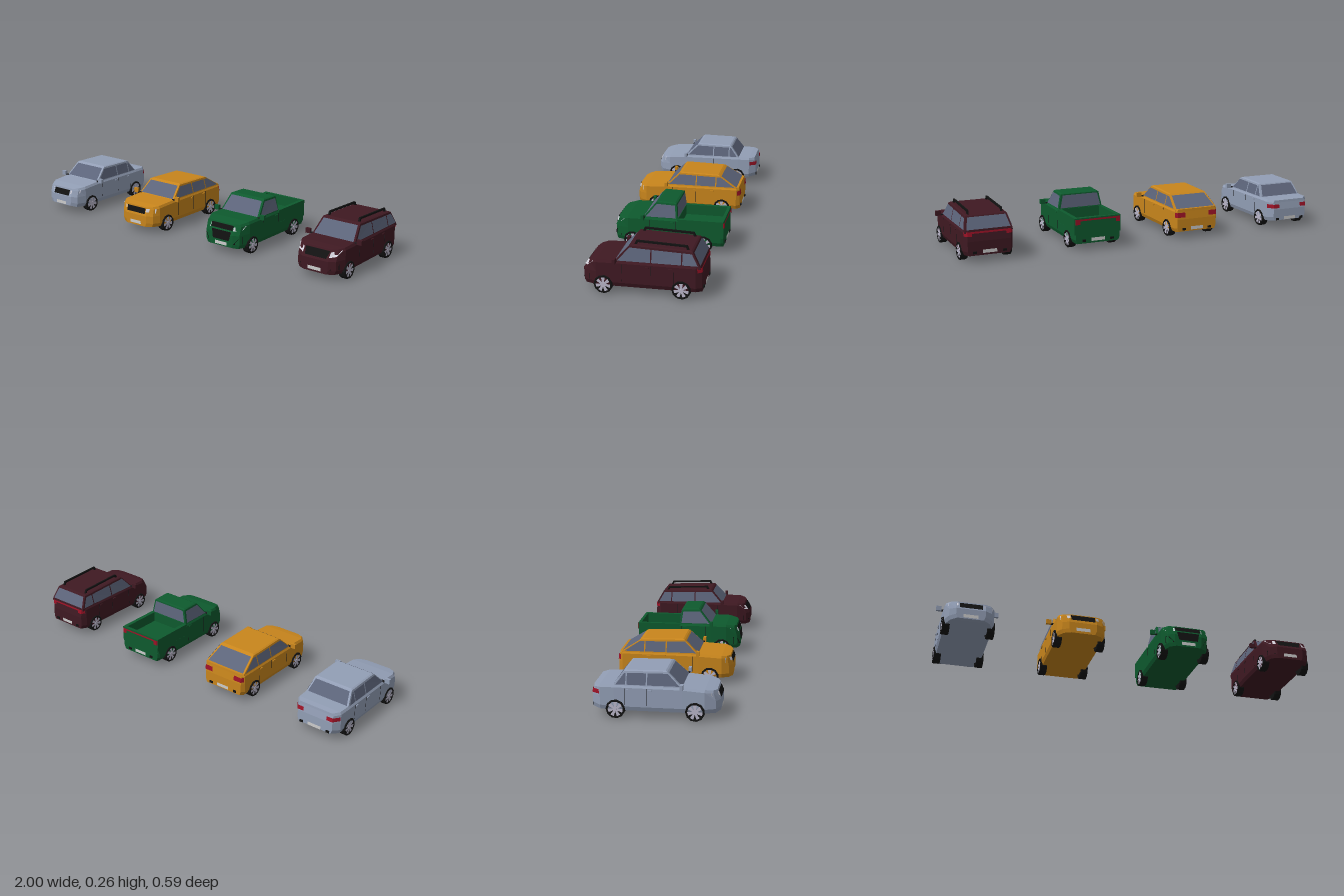
import * as THREE from 'three';

const paint = (color, extra = {}) => new THREE.MeshStandardMaterial({ color, flatShading: true, ...extra });
const thin = (color) => paint(color, { side: THREE.DoubleSide });
const M = {
  glass: thin(0x5c647a), black: thin(0x121212), light: thin(0xd4d2dc), red: thin(0x9c1226),
  plate: thin(0xe4e4e4), alloy: thin(0xb9b5c8), trim: thin(0x1a1a1c),
};

function add(parent, name, geometry, material, x = 0, y = 0, z = 0) {
  const m = new THREE.Mesh(geometry, material);
  m.name = name;
  m.position.set(x, y, z);
  parent.add(m);
  return m;
}

function meshFrom(points, index) {
  const g = new THREE.BufferGeometry();
  g.setAttribute('position', new THREE.Float32BufferAttribute(points.flat(), 3));
  g.setIndex(index);
  const flat = g.toNonIndexed();
  flat.computeVertexNormals();
  return flat;
}

// Flat polygon from a few corners
function patch(parent, name, pts, material) {
  const index = [];
  for (let i = 1; i < pts.length - 1; i++) index.push(0, i, i + 1);
  return add(parent, name, meshFrom(pts, index), material);
}

// Skin over a row of closed rings, each ring mirrored left to right, both ends capped
function loft(rings) {
  const n = rings[0].length, index = [], last = (rings.length - 1) * n;
  const quad = (a, b, c, d) => index.push(a, b, c, a, c, d);
  for (let i = 0; i < rings.length - 1; i++)
    for (let j = 0; j < n; j++) {
      const k = (j + 1) % n;
      quad(i * n + j, i * n + k, (i + 1) * n + k, (i + 1) * n + j);
    }
  for (let j = 0; j < n / 2 - 1; j++) {
    quad(last + j, last + j + 1, last + n - 2 - j, last + n - 1 - j);
    quad(n - 1 - j, n - 2 - j, j + 1, j);
  }
  return meshFrom(rings.flat(), index);
}

const lerp = THREE.MathUtils.lerp;
const middle = ([, , yb, yt]) => yb + 0.55 * (yt - yb);

// Body cross-section from a station [z, half width, bottom, top, lean of the upper part]
function section([z, w, yb, yt, lean]) {
  const half = [[w - 0.008, yb, z], [w, yb + 0.02, z], [w, middle([z, w, yb, yt]), z],
    [w, yt - 0.012, z + lean], [w - 0.007, yt, z + lean * 1.2]];
  return [...half, ...half.map(([x, y, zz]) => [-x, y, zz]).reverse()];
}

// Point just outside the nose (dir 1) or tail (dir -1) at a given x and y
function endPoint(stations, dir, x, y) {
  const s = dir > 0 ? [...stations].reverse() : stations;
  const at = (q) => q[0] + q[4] * THREE.MathUtils.clamp((y - middle(q)) / (q[3] - 0.012 - middle(q)), 0, 1.2);
  const ax = Math.abs(x);
  let z = at(s[0]);
  for (let i = 0; i < 2; i++)
    if (ax > s[i][1]) z = lerp(at(s[i]), at(s[i + 1]), Math.min(1, (ax - s[i][1]) / Math.max(1e-4, s[i + 1][1] - s[i][1])));
  return [x, y, z + dir * 0.004];
}

function makeWheel() {
  const wheel = new THREE.Group();
  const profile = [[0.035, -0.018], [0.041, -0.019], [0.0445, -0.015], [0.0445, 0.015], [0.042, 0.019], [0.035, 0.018], [0.035, -0.018]];
  const tyre = new THREE.LatheGeometry(profile.map((p) => new THREE.Vector2(...p)), 11);
  add(wheel, 'tyre', tyre, M.black).rotation.z = -Math.PI / 2;
  add(wheel, 'wheelBack', new THREE.CylinderGeometry(0.036, 0.036, 0.012, 11), M.black, -0.008).rotation.z = -Math.PI / 2;
  add(wheel, 'hub', new THREE.CylinderGeometry(0.008, 0.009, 0.005, 7), M.alloy, 0.0155).rotation.z = -Math.PI / 2;
  for (let i = 0; i < 7; i++) {
    const spoke = patch(wheel, 'spoke', [[0.017, 0.004, -0.004], [0.017, 0.036, -0.009], [0.017, 0.036, 0.009], [0.017, 0.004, 0.004]], M.alloy);
    spoke.rotation.x = (i / 7) * Math.PI * 2;
  }
  return wheel;
}

function makeCar(spec) {
  const car = new THREE.Group();
  car.name = spec.name;
  car.position.x = spec.x;
  const body = paint(spec.color);
  const { stations, belt, cabin: c } = spec;
  add(car, 'body', loft(stations.map(section)), body);

  // Cabin: a tapered block from the belt line to the roof
  const wb = 0.121, wt = 0.104;
  const ring = (w, zf, yf, zr, yr) => [[w, yf, zf], [w, yr, zr], [-w, yr, zr], [-w, yf, zf]];
  add(car, 'cabin', loft([ring(wb, c.baseF, belt - 0.012, c.baseR, belt - 0.012), ring(wb - 0.002, c.baseF - 0.003, belt, c.baseR + 0.003, belt),
    ring(wt, c.topF, c.yF - 0.004, c.topR, c.yR - 0.004), ring(wt - 0.008, c.topF - 0.008, c.yF, c.topR + 0.008, c.yR)]), body);

  // Windscreen and rear window
  const screen = (name, zb, zt, yTop, dir) => {
    const p = (side, v) => [side * (lerp(wb, wt, v) - 0.01), lerp(belt, yTop - 0.004, v), lerp(zb, zt, v) + dir * 0.003];
    patch(car, name, [p(-1, 0.05), p(1, 0.05), p(1, 0.93), p(-1, 0.93)], M.glass);
  };
  screen('windscreen', c.baseF - 0.003, c.topF, c.yF, 1);
  screen('rearWindow', c.baseR + 0.003, c.topR, c.yR, -1);

  // Side windows between the pillars
  const y0 = belt + 0.004;
  const roofY = (z) => lerp(c.yF, c.yR, THREE.MathUtils.clamp((c.topF - z) / (c.topF - c.topR), 0, 1)) - 0.012;
  const frontLine = (y) => lerp(c.baseF, c.topF, (y - belt) / (c.yF - belt)) - 0.01;
  const rearLine = (y) => lerp(c.baseR, c.topR, (y - belt) / (c.yR - belt)) + 0.01;
  const edges = [frontLine, ...spec.pillars.map((z) => () => z), rearLine];
  for (const side of [1, -1]) {
    const onSide = (z, y) => [side * (lerp(wb, wt, (y - belt) / (roofY(z) + 0.008 - belt)) + 0.002), y, z];
    for (let i = 0; i < edges.length - 1; i++) {
      const f = (y) => edges[i](y) - (i ? 0.003 : 0);
      const r = (y) => edges[i + 1](y) + (i < edges.length - 2 ? 0.003 : 0);
      const yf = roofY(f(c.yF - 0.012)), yr = roofY(r(c.yR - 0.012));
      patch(car, 'sideWindow', [onSide(f(y0), y0), onSide(f(yf), yf), onSide(r(yr), yr), onSide(r(y0), y0)], M.glass);
    }
    // Door seams and handles
    for (const z of [0.09, ...spec.doors])
      add(car, 'doorSeam', new THREE.BoxGeometry(0.001, belt - 0.077, 0.0015), M.trim, side * 0.1252, (belt + 0.053) / 2, z);
    for (const z of spec.doors)
      add(car, 'doorHandle', new THREE.BoxGeometry(0.005, 0.006, 0.018), body, side * 0.127, belt - 0.019, z + 0.016);
    // Mirror on its arm
    add(car, 'mirror', new THREE.BoxGeometry(0.027, 0.024, 0.014), body, side * 0.144, belt + 0.008, 0.12);
    add(car, 'mirrorArm', new THREE.BoxGeometry(0.03, 0.007, 0.009), M.trim, side * 0.126, belt, 0.118);
    for (const z of [0.177, -0.184]) {
      const wheel = makeWheel();
      wheel.name = z > 0 ? 'frontWheel' : 'rearWheel';
      wheel.position.set(side * 0.111, 0.0445, z);
      wheel.rotation.y = side > 0 ? 0 : Math.PI;
      car.add(wheel);
    }
  }

  // Lights, grille and plates laid on the nose and tail
  const onEnd = (name, dir, pts, material, both = false) => {
    for (const s of both ? [1, -1] : [1])
      patch(car, name, pts.map(([x, y]) => endPoint(stations, dir, s * x, y)), material);
  };
  const box = (w, a, b, w2 = w) => [[-w, a], [w, a], [w2, b], [-w2, b]];
  for (const g of spec.grilles) onEnd('grille', 1, box(...g), M.black);
  onEnd('headlight', 1, spec.headlight, M.light, true);
  if (spec.vent) onEnd('bumperVent', 1, spec.vent, M.black, true);
  for (const dir of [1, -1]) onEnd('plate', dir, box(0.036, 0.047, 0.064), M.plate);
  const [ta, tb, inner] = spec.tail;
  const corner = stations[0][1];
  onEnd('tailLight', -1, [[inner, ta], [corner, ta], [corner, tb], [inner, tb]], M.red, true);
  onEnd('tailLightWrap', -1, [[corner, ta], [0.122, ta], [0.122, tb], [corner, tb]], M.red, true);
  if (spec.strip) onEnd('lightStrip', -1, box(inner, tb - 0.009, tb), M.red);
  for (const s of [1, -1])
    add(car, 'exhaust', new THREE.BoxGeometry(0.018, 0.011, 0.01), M.black, s * 0.075, 0.052, stations[0][0]);
  return car;
}

// Open load bed: side walls and tailgate standing on the low rear body
function addBed(car, color) {
  const body = paint(color);
  for (const s of [1, -1])
    add(car, 'bedWall', new THREE.BoxGeometry(0.02, 0.085, 0.232), body, s * 0.1145, 0.125, -0.166);
  add(car, 'tailgate', new THREE.BoxGeometry(0.236, 0.085, 0.015), body, 0, 0.125, -0.2755);
}

function addRoofRails(car) {
  const outline = [[0.04, 0.232], [0.028, 0.256], [-0.205, 0.247], [-0.217, 0.222], [-0.205, 0.222], [-0.2, 0.238], [0.02, 0.247], [0.028, 0.232]];
  const shape = new THREE.Shape(outline.map((p) => new THREE.Vector2(...p)));
  const geo = new THREE.ExtrudeGeometry(shape, { depth: 0.009, bevelEnabled: false });
  geo.translate(0, 0, -0.0045).rotateY(-Math.PI / 2);
  for (const s of [1, -1]) add(car, 'roofRail', geo, M.black, s * 0.084);
}

export function createModel() {
  const model = new THREE.Group();
  model.name = 'fourCars';
  const sedan = makeCar({
    name: 'sedan', x: -0.8425, color: 0x929eb5, belt: 0.155, pillars: [-0.042, -0.135], doors: [-0.042, -0.14],
    stations: [[-0.291, 0.098, 0.045, 0.153, 0.006], [-0.255, 0.122, 0.04, 0.156, 0], [-0.19, 0.125, 0.037, 0.157, 0], [0.12, 0.125, 0.037, 0.155, 0],
      [0.22, 0.123, 0.037, 0.147, 0], [0.268, 0.104, 0.037, 0.141, -0.01], [0.287, 0.072, 0.043, 0.138, -0.013]],
    cabin: { baseF: 0.122, topF: 0.05, topR: -0.145, baseR: -0.195, yF: 0.225, yR: 0.222 },
    grilles: [[0.057, 0.1, 0.13]], headlight: [[0.064, 0.112], [0.11, 0.115], [0.112, 0.132], [0.064, 0.13]], tail: [0.112, 0.132, 0.065],
  });
  const hatchback = makeCar({
    name: 'hatchback', x: -0.28, color: 0xc8851c, belt: 0.155, pillars: [-0.042, -0.15], doors: [-0.042, -0.145],
    stations: [[-0.281, 0.112, 0.04, 0.157, 0.005], [-0.262, 0.124, 0.037, 0.157, 0], [0.12, 0.125, 0.037, 0.155, 0],
      [0.235, 0.123, 0.037, 0.149, 0], [0.27, 0.104, 0.037, 0.145, -0.008], [0.287, 0.07, 0.037, 0.142, -0.01]],
    cabin: { baseF: 0.122, topF: 0.05, topR: -0.168, baseR: -0.268, yF: 0.225, yR: 0.22 },
    grilles: [[0.062, 0.107, 0.136]], headlight: [[0.066, 0.118], [0.113, 0.112], [0.114, 0.138], [0.066, 0.134]], tail: [0.115, 0.14, 0.068],
  });
  const pickup = makeCar({
    name: 'pickup', x: 0.28, color: 0x0e5a2e, belt: 0.168, pillars: [], doors: [-0.042],
    stations: [[-0.283, 0.118, 0.037, 0.115, 0], [-0.27, 0.124, 0.037, 0.115, 0], [-0.055, 0.125, 0.037, 0.115, 0], [-0.055, 0.125, 0.037, 0.168, 0],
      [0.12, 0.125, 0.037, 0.17, 0], [0.2, 0.124, 0.037, 0.169, 0], [0.258, 0.104, 0.037, 0.161, -0.012], [0.272, 0.072, 0.04, 0.158, -0.016]],
    cabin: { baseF: 0.122, topF: 0.055, topR: -0.045, baseR: -0.055, yF: 0.249, yR: 0.246 },
    grilles: [[0.066, 0.128, 0.152, 0.068], [0.05, 0.074, 0.12, 0.06]], headlight: [[0.07, 0.126], [0.11, 0.132], [0.117, 0.152], [0.07, 0.146]],
    vent: [[0.076, 0.06], [0.112, 0.06], [0.112, 0.1], [0.1, 0.09]], tail: [0.135, 0.162, 0.096], strip: true,
  });
  addBed(pickup, 0x0e5a2e);
  const wagon = makeCar({
    name: 'wagon', x: 0.841, color: 0x3f1922, belt: 0.16, pillars: [-0.044, -0.185], doors: [-0.044, -0.15],
    stations: [[-0.277, 0.108, 0.037, 0.163, 0.006], [-0.25, 0.124, 0.037, 0.163, 0], [0.12, 0.125, 0.037, 0.163, 0],
      [0.21, 0.124, 0.037, 0.161, 0], [0.262, 0.105, 0.037, 0.156, -0.02], [0.28, 0.072, 0.037, 0.153, -0.026]],
    cabin: { baseF: 0.125, topF: 0.055, topR: -0.233, baseR: -0.271, yF: 0.238, yR: 0.227 },
    grilles: [[0.058, 0.112, 0.146, 0.068]], headlight: [[0.072, 0.118], [0.104, 0.126], [0.118, 0.152], [0.073, 0.142]],
    vent: [[0.078, 0.06], [0.113, 0.06], [0.113, 0.088]], tail: [0.132, 0.154, 0.085], strip: true,
  });
  addRoofRails(wagon);
  model.add(sedan, hatchback, pickup, wagon);
  return model;
}
